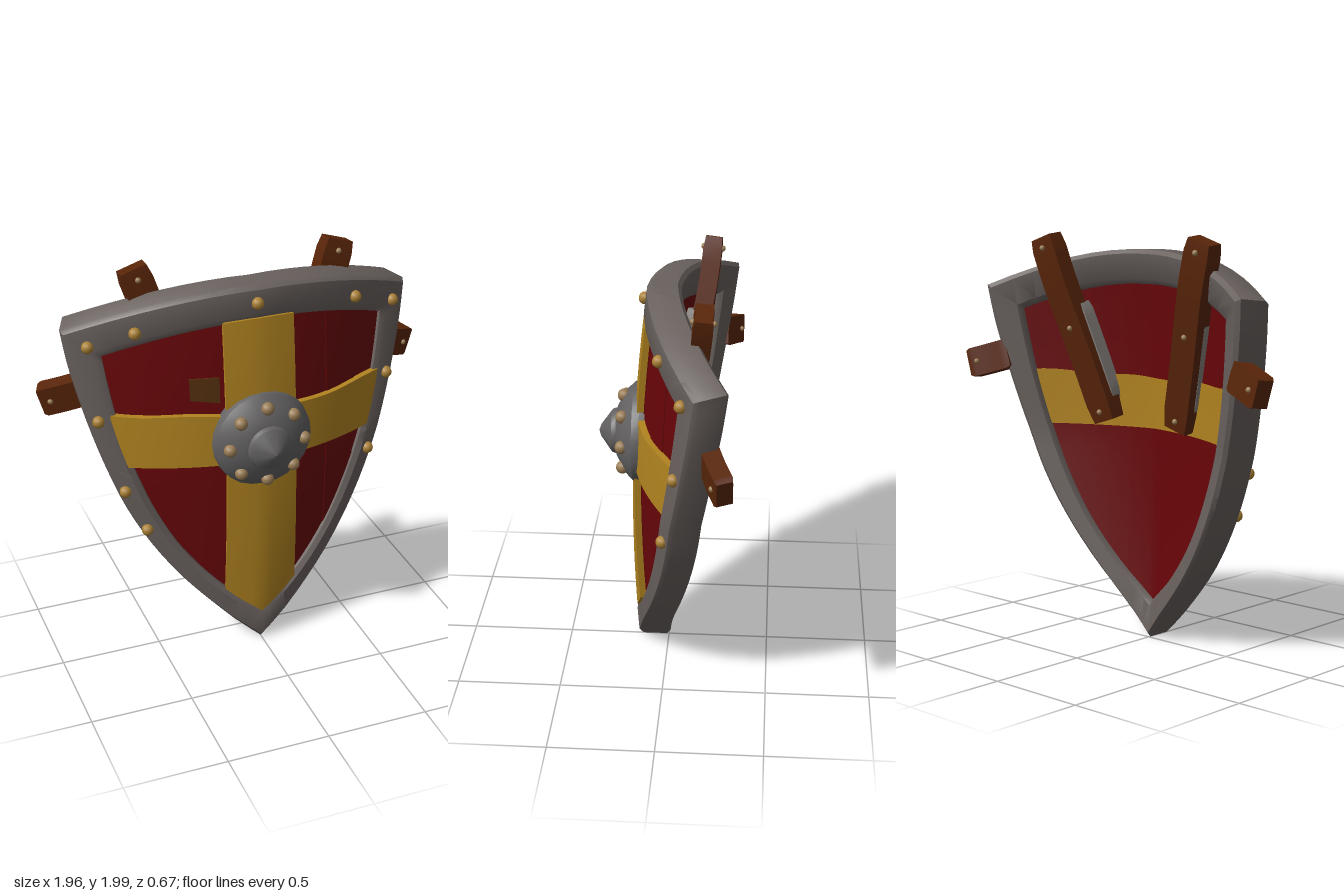
import * as THREE from 'three';
import { toCreasedNormals } from 'three/addons/utils/BufferGeometryUtils.js';

const mat = (name, color) => {
  const m = new THREE.MeshStandardMaterial({ color });
  m.name = name;
  return m;
};

export function createModel() {
  const group = new THREE.Group();
  const iron = mat('rim iron', 0x69615e);
  const bossIron = mat('boss iron', 0x636162);
  const red = mat('red paint', 0x680508);
  const yellow = mat('yellow paint', 0xb28420);
  const wood = mat('brown wood', 0x592509);
  const bareWood = mat('bare wood', 0x55300f);
  const brass = mat('brass', 0xab8135);
  const tan = mat('pale studs', 0x9a7d55);
  const chip = mat('bare grey', 0x85807c);

  const add = (name, geo, material) => {
    const m = new THREE.Mesh(geo, material);
    m.name = name;
    group.add(m);
    return m;
  };

  // Curved shield surface: bows back at the sides, with a sharper fold towards the tip;
  // d is the offset along its normal
  const place = (x, y, d) => {
    const a = Math.abs(x);
    const bend = 1 + 0.22 * (1.75 - y);
    const fold = 0.05 + 0.1 * Math.max(0, 1 - y);
    const z = 0.07 + 0.083 * y - 0.057 * y * y - bend * (0.34 * a * a + fold * a);
    const slope = bend * Math.sign(x) * (0.68 * a + fold * Math.min(1, a / 0.1));
    const len = Math.hypot(1, slope);
    return new THREE.Vector3(x + (d * slope) / len, y, z + d / len);
  };

  // Half outlines of the rim, from the bottom tip to the upper corner
  const curve = (pts) => new THREE.SplineCurve(pts.map((p) => new THREE.Vector2(...p))).getPoints(27);
  const outer = curve([[0, 0.01], [0.18, 0.2], [0.355, 0.4], [0.492, 0.6], [0.596, 0.8],
    [0.672, 1], [0.733, 1.2], [0.783, 1.4], [0.816, 1.56], [0.838, 1.72]]);
  const inner = curve([[0, 0.195], [0.155, 0.325], [0.285, 0.47], [0.388, 0.62], [0.47, 0.78],
    [0.535, 0.94], [0.585, 1.1], [0.625, 1.27], [0.655, 1.44], [0.678, 1.605]]);
  const loop = (side, top, drop) => {
    const c = side[side.length - 1];
    const pts = side.slice();
    for (let i = 1; i < 16; i++) {
      const x = c.x * (1 - i / 8);
      pts.push(new THREE.Vector2(x, top - drop * (x / c.x) ** 2));
    }
    for (let i = side.length - 1; i > 0; i--) pts.push(new THREE.Vector2(-side[i].x, side[i].y));
    return pts;
  };

  // Iron rim: a bevelled section swept round the outline, its back spread a little at the sides
  const outLoop = loop(outer, 1.92, 0.2), inLoop = loop(inner, 1.755, 0.15);
  const section = [[0, 0.06], [0.12, 0.08], [0.8, 0.08], [1, 0.06],
    [1, -0.055], [0.85, -0.078], [0.12, -0.08], [0, -0.06]];
  const pos = [], idx = [], n = outLoop.length, k = section.length;
  for (let i = 0; i < n; i++) {
    section.forEach(([t, d], j) => {
      const spread = d < 0 ? 0.13 * Math.abs(outLoop[i].x) : 0;
      const p = outLoop[i].clone().lerp(inLoop[i], t - spread);
      pos.push(...place(p.x, p.y, d).toArray());
      const a = i * k + j, b = i * k + ((j + 1) % k);
      const e = ((i + 1) % n) * k + j, c = ((i + 1) % n) * k + ((j + 1) % k);
      idx.push(a, e, c, a, c, b);
    });
  }
  const rimGeo = new THREE.BufferGeometry();
  rimGeo.setAttribute('position', new THREE.Float32BufferAttribute(pos, 3));
  rimGeo.setIndex(idx);
  add('rim', toCreasedNormals(rimGeo, 0.7), iron);

  // Edges of the wooden body, hidden under the middle of the rim
  const mid = outer.map((p, i) => p.clone().lerp(inner[i], 0.5));
  const hi = (x) => 1.837 - 0.28 * x * x;
  const lo = (x) => {
    const a = Math.abs(x);
    for (let i = 1; i < mid.length; i++) {
      if (a <= mid[i].x) {
        const t = (a - mid[i - 1].x) / (mid[i].x - mid[i - 1].x);
        return Math.min(hi(x), mid[i - 1].y + t * (mid[i].y - mid[i - 1].y));
      }
    }
    return hi(x);
  };

  // A slab bent to the shield surface between two edge functions
  const slab = (name, x0, x1, low, high, back, front, material) => {
    const g = new THREE.BoxGeometry(1, 1, 1, Math.max(4, Math.ceil((x1 - x0) * 24)), 14, 1);
    const p = g.attributes.position;
    for (let i = 0; i < p.count; i++) {
      const x = x0 + (x1 - x0) * (p.getX(i) + 0.5);
      const y = low(x) + (high(x) - low(x)) * (p.getY(i) + 0.5);
      p.setXYZ(i, ...place(x, y, p.getZ(i) > 0 ? front : back).toArray());
    }
    g.computeVertexNormals();
    return add(name, g, material);
  };

  // Red planks of slightly differing height
  const seams = [-0.752, -0.52, -0.35, -0.165, 0.165, 0.35, 0.52, 0.752];
  for (let i = 0; i < 7; i++) {
    slab('redPlank', seams[i], seams[i + 1], lo, hi, -0.05, 0.044 + (i % 2) * 0.004, red);
  }
  // Yellow cross in front, painted band behind, and the broken spot
  const bandLow = (x) => Math.max(lo(x), 1.05 - 0.015 * Math.abs(x));
  const bandHigh = (x) => 1.3 + 0.02 * Math.abs(x) + 0.005 * Math.sin(14 * x);
  slab('crossUpright', -0.164, 0.16, (x) => lo(x) + 0.075, (x) => hi(x) - 0.07, 0.02, 0.079, yellow);
  slab('crossBar', -0.65, 0.65, bandLow, bandHigh, 0.02, 0.075, yellow);
  slab('backBand', -0.65, 0.65, bandLow, bandHigh, -0.056, -0.049, yellow);
  slab('brokenSpot', -0.318, -0.185, (x) => 1.36 - 0.15 * (x + 0.185), () => 1.487, 0.043, 0.051, bareWood);

  // Central boss with pointed cap
  const profile = [[0.235, 0.06], [0.248, 0.13], [0.242, 0.165], [0.2, 0.207], [0.125, 0.247],
    [0.112, 0.25], [0.105, 0.272], [0.03, 0.327], [0, 0.338]].map((p) => new THREE.Vector2(...p));
  const boss = add('boss', toCreasedNormals(new THREE.LatheGeometry(profile, 24), 0.4), bossIron);
  boss.rotation.x = Math.PI / 2;
  boss.position.y = 1.16;

  const stud = (name, r, p, material) => {
    const s = add(name, new THREE.SphereGeometry(r, 10, 7), material);
    s.position.copy(p);
    return s;
  };
  for (let i = 0; i < 8; i++) {
    const a = (i * Math.PI) / 4;
    stud('bossStud', 0.032, new THREE.Vector3(0.187 * Math.sin(a), 1.16 + 0.187 * Math.cos(a), 0.215), tan);
  }
  // Brass studs round the rim
  [[-0.725, 1.655], [-0.533, 1.73], [-0.01, 1.84], [0.495, 1.75], [0.735, 1.65], [-0.697, 1.28],
    [0.7, 1.28], [-0.597, 0.91], [0.588, 0.905], [-0.505, 0.695]]
    .forEach(([x, y]) => stud('rimStud', 0.03, place(x, y, 0.084), brass));

  // A bar swept along a path, with slightly narrowed ends
  const bar = (name, pts, w, t, material) => {
    const path = new THREE.CatmullRomCurve3(pts);
    const g = new THREE.BoxGeometry(w, 1, t, 2, 12, 2);
    const p = g.attributes.position;
    for (let i = 0; i < p.count; i++) {
      const u = p.getY(i) + 0.5;
      const T = path.getTangent(u);
      const W = T.clone().cross(new THREE.Vector3(0, 0, 1)).normalize();
      const N = W.clone().cross(T);
      const s = u < 0.01 || u > 0.99 ? 0.88 : 1;
      const v = path.getPoint(u).addScaledVector(W, p.getX(i) * s).addScaledVector(N, p.getZ(i) * s);
      p.setXYZ(i, v.x, v.y, v.z);
    }
    g.computeVertexNormals();
    return add(name, g, material);
  };

  // Wooden battens behind and stubs at the sides, mirrored
  for (const s of [1, -1]) {
    const v = (x, y, z) => new THREE.Vector3(s * x, y, z);
    bar('backBatten', [v(0.235, 1.08, -0.035), v(0.34, 1.42, -0.095), v(0.44, 1.74, -0.16), v(0.515, 1.975, -0.188)],
      0.148, 0.09, wood);
    bar('battenPacking', [v(0.262, 1.17, -0.015), v(0.335, 1.42, -0.06), v(0.405, 1.64, -0.1)], 0.158, 0.07, chip);
    bar('sideStub', [v(0.74, 1.39, -0.223), v(0.85, 1.357, -0.26), v(0.95, 1.328, -0.3)], 0.145, 0.085, wood);
    [[0.25, 1.12, -0.088], [0.375, 1.53, -0.165], [0.497, 1.92, -0.23], [0.5, 1.93, -0.137],
      [0.92, 1.337, -0.243], [0.89, 1.345, -0.322]]
      .forEach((p) => stud('battenPin', 0.014, v(...p), tan));
  }
  return group;
}
